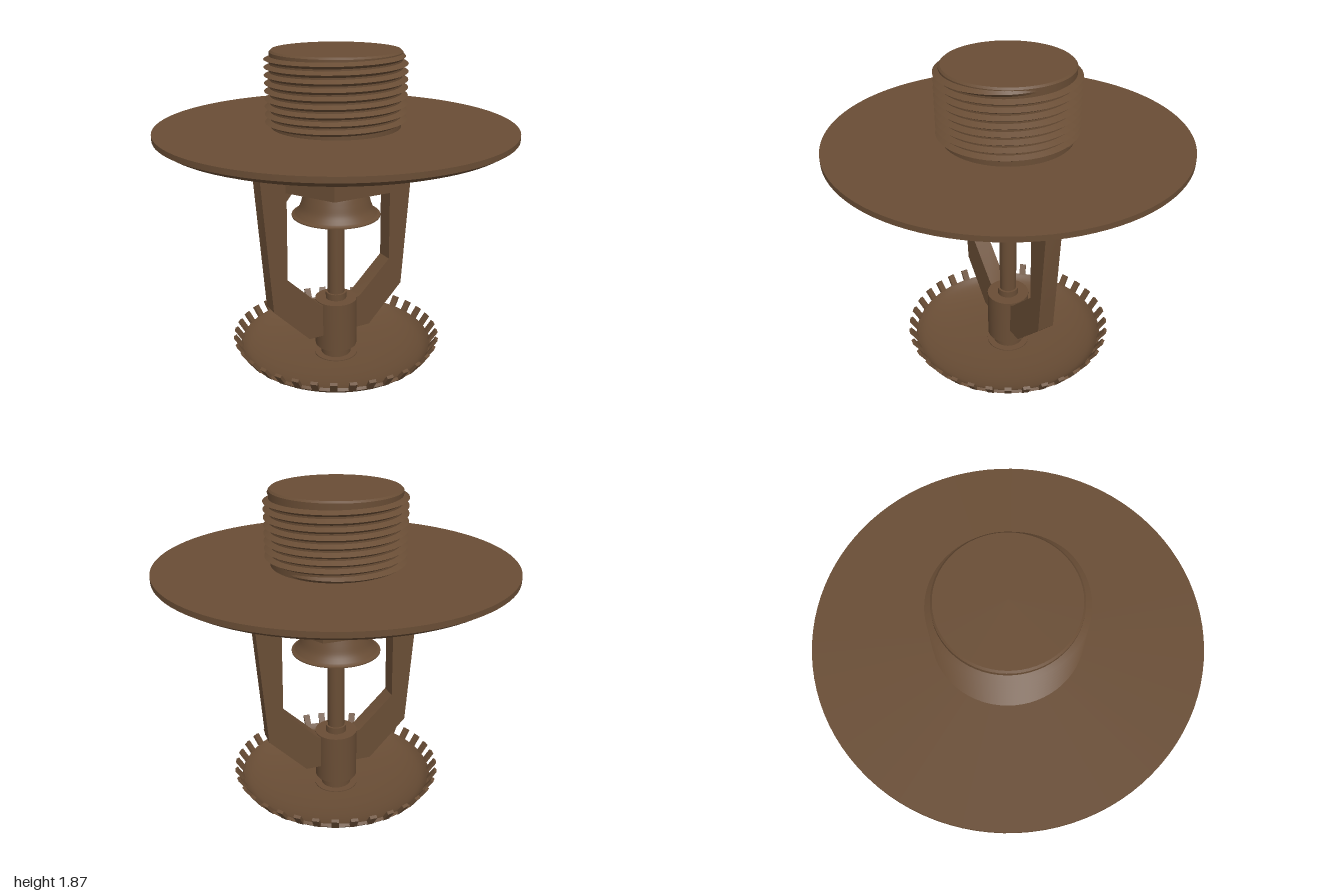
import * as THREE from 'three';
import { toCreasedNormals } from 'three/addons/utils/BufferGeometryUtils.js';

const material = new THREE.MeshStandardMaterial({ color: 0x694d35 });

function add(parent, name, geometry, crease = 0.5) {
  const mesh = new THREE.Mesh(toCreasedNormals(geometry, crease), material);
  mesh.name = name;
  parent.add(mesh);
  return mesh;
}

// Profiles run from the bottom of the axis, up the outside, to the top.
function lathe(points, segments = 64, start = 0) {
  return new THREE.LatheGeometry(points.map(([r, y]) => new THREE.Vector2(r, y)), segments, start);
}

// Triangular ridge wound up the pipe; its ends fade into the core.
function helixRidge(radius, height, halfWidth, y0, y1, pitch) {
  const perTurn = 64;
  const steps = Math.round((y1 - y0) / pitch * perTurn);
  const positions = [], index = [];
  for (let i = 0; i <= steps; i++) {
    const angle = -(steps - i) / perTurn * Math.PI * 2;
    const y = y0 + (y1 - y0) * i / steps;
    const fade = Math.min(1, i / 12, (steps - i) / 12);
    for (const [r, dy] of [[radius, -halfWidth], [radius + height * fade, 0], [radius, halfWidth]]) {
      positions.push(r * Math.cos(angle), y + dy, -r * Math.sin(angle));
    }
    if (i === steps) continue;
    for (let j = 0; j < 2; j++) {
      const a = i * 3 + j, b = a + 3;
      index.push(a, b, a + 1, b, b + 1, a + 1);
    }
  }
  const geometry = new THREE.BufferGeometry();
  geometry.setAttribute('position', new THREE.Float32BufferAttribute(positions, 3));
  geometry.setIndex(index);
  geometry.computeVertexNormals();
  return geometry;
}

export function createModel() {
  const model = new THREE.Group();
  model.name = 'sprinklerHead';

  // Threaded pipe end
  const pipe = new THREE.Group();
  pipe.name = 'threadedPipe';
  model.add(pipe);
  add(pipe, 'pipeCore', lathe([[0, 1.42], [0.36, 1.42], [0.36, 1.855], [0.35, 1.865], [0, 1.865]]));
  add(pipe, 'pipeThread', helixRidge(0.357, 0.034, 0.018, 1.46, 1.84, 0.0425));

  // Wide ceiling plate with bevelled rim and shallow recess underneath
  add(model, 'ceilingPlate', lathe([
    [0, 1.398], [0.55, 1.398], [0.55, 1.38], [0.92, 1.38], [0.96, 1.395],
    [1, 1.42], [1, 1.45], [0, 1.45],
  ], 96));

  // Hexagonal nut in two tiers
  add(model, 'hexNut', lathe([
    [0, 1.12], [0.37, 1.12], [0.37, 1.268], [0.306, 1.303], [0.306, 1.41], [0, 1.41],
  ], 6, Math.PI / 2), 0.2);

  // Pair of flat frame arms
  const armShape = new THREE.Shape();
  armShape.moveTo(0.12, 0.188);
  armShape.lineTo(0.205, 0.188);
  armShape.lineTo(0.43, 0.418);
  armShape.lineTo(0.49, 1.22);
  armShape.quadraticCurveTo(0.485, 1.28, 0.43, 1.295);
  armShape.lineTo(0.35, 1.312);
  armShape.lineTo(0.35, 1.41);
  armShape.lineTo(0.25, 1.41);
  armShape.lineTo(0.25, 1.12);
  armShape.lineTo(0.295, 1.12);
  armShape.lineTo(0.335, 1.07);
  armShape.lineTo(0.34, 0.595);
  armShape.lineTo(0.135, 0.395);
  armShape.lineTo(0.1, 0.385);
  armShape.lineTo(0.1, 0.188);
  for (const [name, turn] of [['leftArm', 0], ['rightArm', Math.PI]]) {
    const geometry = new THREE.ExtrudeGeometry(armShape, { depth: 0.1, bevelEnabled: false, curveSegments: 8 });
    geometry.translate(0, 0, -0.05);
    add(model, name, geometry).rotation.y = turn;
  }

  // Hollow bell under the nut
  const bell = new THREE.SplineCurve([
    [0.24, 0.937], [0.212, 0.975], [0.193, 1.03], [0.175, 1.08], [0.15, 1.11], [0.115, 1.122],
  ].map(([x, y]) => new THREE.Vector2(x, y))).getPoints(20).map(p => [p.x, p.y]);
  const bellInside = bell.map(([r, y]) => [r - 0.01, y - 0.009]).reverse();
  add(model, 'bell', lathe([
    [0, 1.113], ...bellInside, [0.256, 0.926], [0.256, 0.932], ...bell, [0, 1.122],
  ]), 0.7);

  // Central rod, collar, boss and rivet
  add(model, 'rod', lathe([[0, 0.4], [0.05, 0.4], [0.05, 1.115], [0, 1.115]], 32));
  add(model, 'collar', lathe([[0, 0.38], [0.062, 0.38], [0.062, 0.437], [0, 0.437]], 32));
  add(model, 'boss', lathe([[0, 0.095], [0.125, 0.095], [0.125, 0.397], [0, 0.397]], 48));
  add(model, 'rivetShank', lathe([[0, 0.02], [0.09, 0.02], [0.09, 0.11], [0, 0.11]], 32));
  add(model, 'rivetHead', lathe([[0, 0], [0.13, 0], [0.13, 0.036], [0, 0.036]], 48));

  // Dished deflector with a ring of upturned teeth
  const deflector = new THREE.Group();
  deflector.name = 'deflector';
  model.add(deflector);
  const dish = new THREE.SplineCurve([
    [0.13, 0.016], [0.3, 0.025], [0.44, 0.046], [0.535, 0.078], [0.578, 0.112],
  ].map(([x, y]) => new THREE.Vector2(x, y))).getPoints(16).map(p => [p.x, p.y]);
  const dishInside = dish.map(([r, y]) => [r - 0.01, y + 0.014]).reverse();
  add(deflector, 'dish', lathe([[0, 0.016], ...dish, ...dishInside, [0, 0.03]], 96), 0.7);
  const teeth = 36;
  for (let i = 0; i < teeth; i++) {
    const geometry = new THREE.BoxGeometry(0.04, 0.086, 0.018);
    geometry.rotateX(0.6);
    geometry.translate(0, 0.141, 0.587);
    add(deflector, 'tooth', geometry).rotation.y = i / teeth * Math.PI * 2;
  }

  return model;
}
